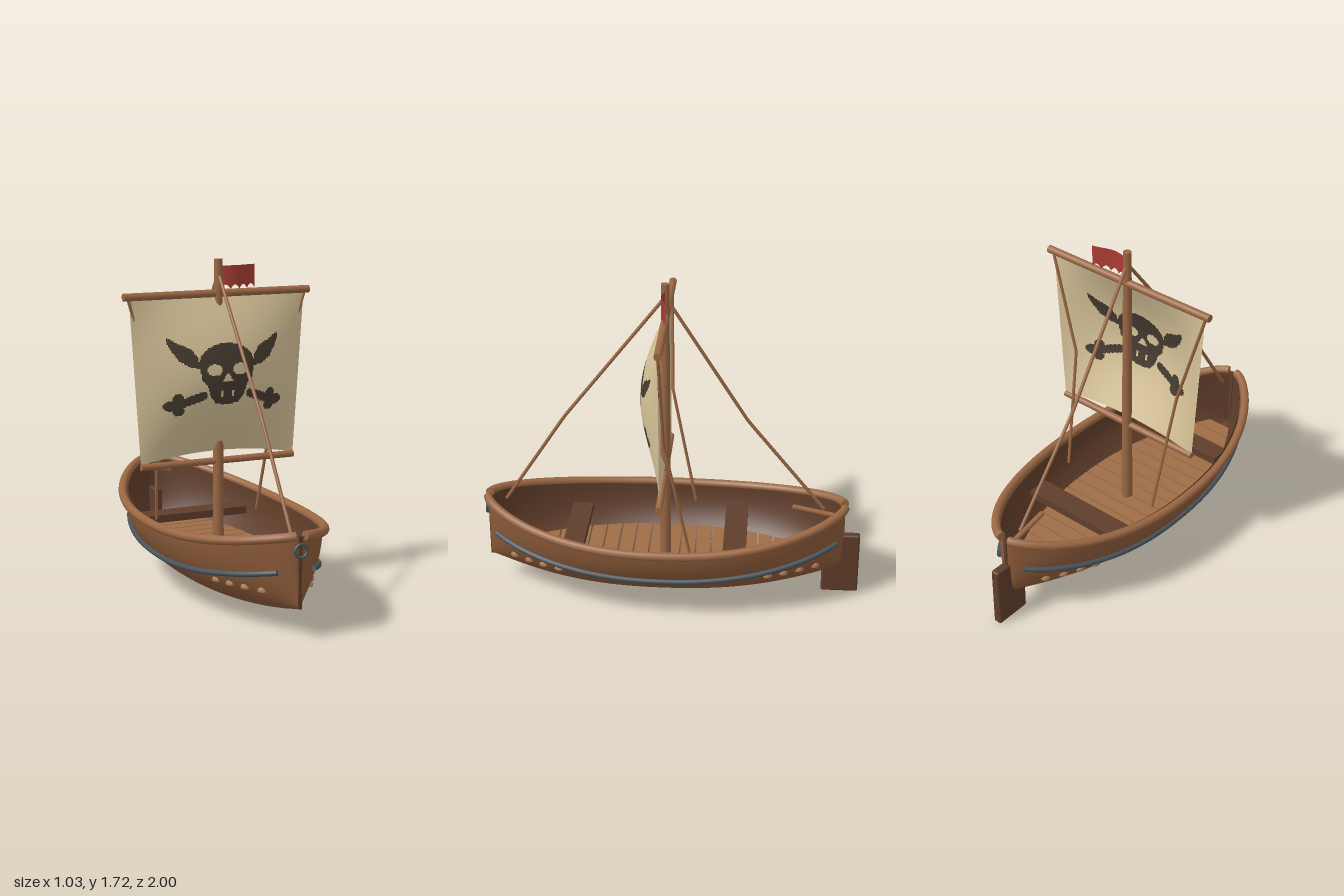
import * as THREE from 'three';
import { mergeGeometries } from 'three/addons/utils/BufferGeometryUtils.js';
import { RoundedBoxGeometry } from 'three/addons/geometries/RoundedBoxGeometry.js';

const mat = (name, color, side = THREE.FrontSide) =>
  Object.assign(new THREE.MeshStandardMaterial({ color, side }), { name });

const MID = 0.035, HALF = 0.945; // hull centre and half length along z

// Hull lines: half width, keel height and sheer height at z
const along = z => Math.min(1, Math.abs((z - MID) / HALF));
const widthAt = z => 0.012 + 0.388 * Math.pow(1 - Math.pow(along(z), 2.2), 0.7);
const keelAt = z => 0.045 + 0.11 * Math.pow(along(z), 2.5);
const sheerAt = z => 0.405 + 0.105 * Math.pow(along(z), 2.4);
const sideAt = (z, y, inset = 0) => {
  const k = keelAt(z) + inset, t = THREE.MathUtils.clamp((y - k) / (sheerAt(z) - k), 0, 1);
  return Math.max(0.004, widthAt(z) - inset) * Math.sqrt(1 - (1 - t) ** 2);
};

// Surface from a rule f(u, v), with indices sorted into groups by pick(centre)
function surface(nu, nv, f, pick = () => 0, groups = 1) {
  const pos = [], lists = Array.from({ length: groups }, () => []);
  for (let j = 0; j <= nv; j++) for (let i = 0; i <= nu; i++) pos.push(...f(i / nu, j / nv));
  for (let j = 0; j < nv; j++) for (let i = 0; i < nu; i++) {
    const a = j * (nu + 1) + i, b = a + 1, c = a + nu + 1, d = c + 1;
    lists[pick(f((i + 0.5) / nu, (j + 0.5) / nv))].push(a, b, d, a, d, c);
  }
  const g = new THREE.BufferGeometry();
  g.setAttribute('position', new THREE.Float32BufferAttribute(pos, 3));
  g.setIndex(lists.flat());
  let start = 0;
  if (groups > 1) lists.forEach((l, i) => { g.addGroup(start, l.length, i); start += l.length; });
  g.computeVertexNormals();
  return g;
}

// Round bar along a curve with flat end caps
function bar(curve, radius, segments) {
  const cap = t => {
    const c = new THREE.CircleGeometry(radius, 12);
    const dir = curve.getTangentAt(t).multiplyScalar(t ? 1 : -1);
    c.applyQuaternion(new THREE.Quaternion().setFromUnitVectors(new THREE.Vector3(0, 0, 1), dir));
    const p = curve.getPointAt(t);
    return c.translate(p.x, p.y, p.z);
  };
  return mergeGeometries([new THREE.TubeGeometry(curve, segments, radius, 12), cap(0), cap(1)]);
}
const spline = pts => new THREE.CatmullRomCurve3(pts.map(p => new THREE.Vector3(...p)));
function polyline(pts) {
  const path = new THREE.CurvePath();
  for (let i = 1; i < pts.length; i++)
    path.add(new THREE.LineCurve3(new THREE.Vector3(...pts[i - 1]), new THREE.Vector3(...pts[i])));
  return path;
}

// Painted skull, wings and bones on the sail
const inEllipse = (x, y, cx, cy, rx, ry) => ((x - cx) / rx) ** 2 + ((y - cy) / ry) ** 2 < 1;
const inCapsule = (x, y, ax, ay, bx, by, r) => {
  const dx = bx - ax, dy = by - ay;
  const t = THREE.MathUtils.clamp(((x - ax) * dx + (y - ay) * dy) / (dx * dx + dy * dy), 0, 1);
  return Math.hypot(x - ax - t * dx, y - ay - t * dy) < r;
};
const inPolygon = (x, y, p) => {
  let inside = false;
  for (let i = 0, j = p.length - 1; i < p.length; j = i++)
    if ((p[i][1] > y) !== (p[j][1] > y) &&
      x < (p[j][0] - p[i][0]) * (y - p[i][1]) / (p[j][1] - p[i][1]) + p[i][0]) inside = !inside;
  return inside;
};
const wing = [[0.31, 1.345], [0.25, 1.312], [0.19, 1.285], [0.16, 1.25], [0.14, 1.185],
  [0.2, 1.195], [0.25, 1.225], [0.285, 1.275], [0.305, 1.31]];
const jaw = [[-0.01, 1.2], [0.15, 1.2], [0.14, 1.13], [0.11, 1.1], [0.09, 1.04], [0.06, 1.0], [-0.01, 0.995]];
const nose = [[-0.01, 1.16], [0.01, 1.15], [0.03, 1.115], [-0.01, 1.115]];
function isEmblem([x, y]) {
  const m = Math.abs(x);
  if (inEllipse(m, y, 0.07, 1.175, 0.04, 0.03) || inPolygon(m, y, nose)) return false;
  if (y < 1.07 && y > 1.035 && Math.abs(m - 0.03) < 0.008) return false;
  return inEllipse(x, y, 0, 1.21, 0.15, 0.098) || inPolygon(m, y, jaw) || inPolygon(m, y, wing)
    || inCapsule(m, y, 0.13, 1.045, 0.26, 1.0, 0.023)
    || inEllipse(m, y, 0.255, 1.035, 0.028, 0.028) || inEllipse(m, y, 0.25, 0.97, 0.03, 0.027)
    || inEllipse(m, y, 0.29, 0.995, 0.04, 0.027);
}

export function createModel() {
  const boat = new THREE.Group();
  boat.name = 'sailingBoat';
  const both = THREE.DoubleSide;
  const hullWood = mat('hull wood', 0x8b5a39, both);
  const sparWood = mat('spar wood', 0x9a6743);
  const plankWood = mat('plank wood', 0x9e6e47);
  const darkWood = mat('dark wood', 0x5f3d2a, both);
  const studWood = mat('pale stud', 0xab784f);
  const canvas = mat('canvas', 0xd6c298, both);
  const paint = mat('dark paint', 0x453b30, both);
  const red = mat('red cloth', 0xa83c34, both);
  const iron = mat('iron', 0x49535a);
  const add = (name, geometry, material, x = 0, y = 0, z = 0) => {
    const m = new THREE.Mesh(geometry, material);
    m.name = name;
    m.position.set(x, y, z);
    boat.add(m);
    return m;
  };
  const zAt = u => MID - HALF * Math.cos(u * Math.PI);

  // Hull: outer skin, darker lining and narrow end posts
  const shell = inset => surface(64, 32, (u, v) => {
    const z = zAt(u), a = v * Math.PI, k = keelAt(z) + inset;
    return [Math.max(0.004, widthAt(z) - inset) * Math.cos(a), k + (sheerAt(z) - k) * (1 - Math.sin(a)), z];
  });
  add('hull', shell(0), hullWood);
  add('hullLining', shell(0.022), darkWood);
  for (const [name, s] of [['bowPost', 1], ['sternPost', -1]]) {
    const z = MID + s * (HALF - 0.004);
    add(name, new THREE.BoxGeometry(0.018, sheerAt(z) - keelAt(z), 0.014), darkWood,
      0, (sheerAt(z) + keelAt(z)) / 2, z);
  }

  // Rails, iron bands, studs and side ropes, mirrored
  const studShape = new THREE.LatheGeometry([[0, -1], [0.9, -0.95], [1, -0.6], [0.85, 0.3], [0.5, 0.85], [0, 1]]
    .map(p => new THREE.Vector2(...p)), 8);
  for (const s of [1, -1]) {
    const side = s > 0 ? 'left' : 'right';
    const railPts = [], bandPts = [];
    for (let i = 0; i <= 28; i++) {
      const z = zAt(i / 28);
      railPts.push([s * (widthAt(z) + 0.012), sheerAt(z), z]);
      const bz = -0.87 + 1.8 * i / 28, by = 0.221 + 0.108 * ((bz - 0.03) / 0.9) ** 2;
      bandPts.push([s * (sideAt(bz, by) + 0.01), by, bz]);
    }
    add(side + 'Rail', bar(spline(railPts), 0.023, 80), sparWood);
    add(side + 'IronBand', bar(spline(bandPts), 0.014, 60), iron);
    for (const z of [0.833, 0.748, 0.665, 0.58, -0.515, -0.597, -0.68, -0.763]) {
      const x = sideAt(z, 0.225) - 0.003;
      const stud = add(side + 'Stud', studShape, studWood, s * x, 0.225, z);
      stud.scale.set(0.016, 0.014, 0.025);
      stud.rotation.y = Math.atan2(s * (sideAt(z + 0.02, 0.225) - sideAt(z - 0.02, 0.225)), 0.04);
    }
    add(side + 'Brace', bar(polyline([[s * 0.49, 1.54, 0.035], [s * 0.335, 1.0, 0.02],
      [s * 0.29, 0.36, -0.11]]), 0.008, 24), sparWood);
  }

  // Deck planks, trimmed to the hull
  const pitch = 0.0832;
  for (let i = 0; i < 21; i++) {
    const a = -0.8675 + i * pitch, b = a + pitch - 0.008;
    const wa = sideAt(a, 0.19, 0.018), wb = sideAt(b, 0.19, 0.018);
    const shape = new THREE.Shape([[-wa, -a], [-wb, -b], [wb, -b], [wa, -a]].map(p => new THREE.Vector2(...p)));
    const g = new THREE.ExtrudeGeometry(shape, { depth: 0.018, bevelEnabled: false });
    add('deckPlank', g.rotateX(-Math.PI / 2), plankWood, 0, 0.182, 0);
  }

  // Benches
  add('rearBench', new THREE.BoxGeometry(0.62, 0.04, 0.12), darkWood, 0, 0.31, -0.337);
  add('frontBench', new THREE.BoxGeometry(0.55, 0.04, 0.11), darkWood, 0, 0.31, 0.51);

  // Rudder and tiller
  add('rudder', new RoundedBoxGeometry(0.046, 0.34, 0.195, 2, 0.01), darkWood, 0, 0.173, -0.9);
  add('tiller', bar(polyline([[0, 0.447, -0.88], [0, 0.497, -0.635]]), 0.014, 4), sparWood);

  // Mast, yards and stays
  add('mast', new THREE.CylinderGeometry(0.021, 0.03, 1.56, 20), sparWood, 0, 0.945, 0.036);
  add('upperYard', new THREE.CylinderGeometry(0.02, 0.02, 1.03, 16).rotateZ(Math.PI / 2), sparWood, 0, 1.55, 0.033);
  add('lowerYard', new THREE.CylinderGeometry(0.018, 0.018, 0.86, 16).rotateZ(Math.PI / 2), sparWood, 0, 0.68, 0.038);
  add('foreStay', bar(polyline([[0, 1.65, 0.04], [0, 0.985, 0.56], [0, 0.49, 0.885]]), 0.009, 24), sparWood);
  add('backStay', bar(polyline([[0, 1.65, 0.03], [0, 0.99, -0.39], [0, 0.49, -0.8]]), 0.009, 24), sparWood);

  // Billowing sail with its painted emblem
  add('sail', surface(150, 120, (u, v) => {
    const a = 2 * u - 1, belly = 1 - a * a;
    const low = 0.69 + 0.045 * belly;
    return [a * (0.43 + 0.055 * v), low + (1.535 - low) * v, 0.036 + 0.125 * belly * Math.sin(Math.PI * v)];
  }, p => (isEmblem(p) ? 1 : 0), 2), [canvas, paint]);

  // Scalloped flag
  add('flag', surface(40, 6, (u, v) => {
    const low = 1.57 + 0.022 * Math.abs(Math.sin(u * Math.PI * 4));
    return [0.015 + 0.197 * u, low + (1.69 - low) * v, 0.033 + 0.016 * Math.sin(u * Math.PI * 1.4)];
  }), red);

  // Mooring ring on the bow
  add('bowRing', new THREE.TorusGeometry(0.032, 0.007, 10, 28), iron, 0, 0.44, 0.988);

  return boat;
}
